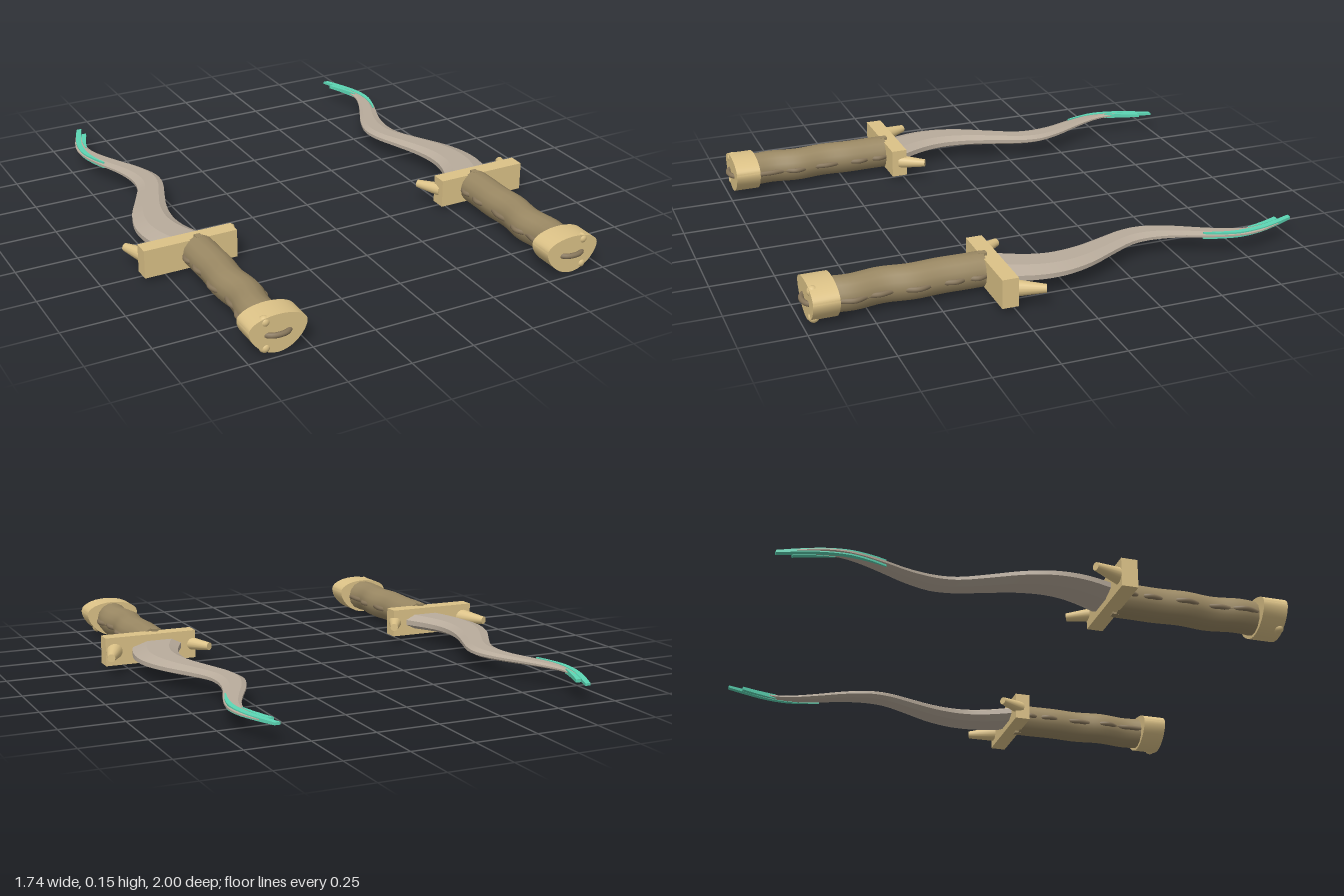
import * as THREE from 'three';
import { toCreasedNormals } from 'three/addons/utils/BufferGeometryUtils.js';

const MID_Y = 0.077; // height of the blade plane
const AXIS_X = 0.62; // centre line of a dagger
const V = (x, y, z) => new THREE.Vector3(x, y, z);

// Closed skin over rings of [x, y, z], each counterclockwise from +z, running towards -z
function loft(rings, crease = 0.5) {
  const n = rings[0].length, index = [];
  const last = (rings.length - 1) * n;
  for (let i = 0; i < rings.length - 1; i++) {
    for (let j = 0; j < n; j++) {
      const a = i * n + j, b = i * n + (j + 1) % n;
      index.push(a, a + n, b, b, a + n, b + n);
    }
  }
  for (let j = 1; j < n - 1; j++) {
    index.push(0, j, j + 1, last, last + j + 1, last + j);
  }
  const geo = new THREE.BufferGeometry();
  geo.setAttribute('position', new THREE.Float32BufferAttribute(rings.flat(2), 3));
  geo.setIndex(index);
  return toCreasedNormals(geo, crease);
}

// Half thickness of the blade, thinning towards the tip
const bladeHalf = (z) => THREE.MathUtils.mapLinear(z, 0.26, -1, 0.031, 0.003);

// Blade: smooth left and right edges, bevelled around a flat top and bottom
function bladeGeometry() {
  const edges = [ // left x, right x, z
    [0.515, 0.725, 0.26], [0.565, 0.757, 0.16], [0.592, 0.768, 0.08], [0.598, 0.762, 0],
    [0.582, 0.73, -0.1], [0.545, 0.672, -0.21], [0.508, 0.62, -0.32], [0.503, 0.612, -0.4],
    [0.535, 0.63, -0.5], [0.592, 0.672, -0.61], [0.635, 0.7, -0.7], [0.656, 0.709, -0.77],
    [0.655, 0.702, -0.83], [0.645, 0.686, -0.88], [0.64, 0.666, -0.93],
  ];
  const curve = new THREE.CatmullRomCurve3(edges.map((e) => V(...e)));
  const rings = curve.getPoints(42).map(({ x: l, y: r, z }) => {
    const h = bladeHalf(z), e = h * 0.35, p = l + (r - l) * 0.2, q = l + (r - l) * 0.7;
    return [[l, -e], [p, -h], [q, -h], [r, -e], [r, e], [q, h], [p, h], [l, e]]
      .map(([x, y]) => [x, MID_Y + y, z]);
  });
  return loft(rings, 0.3);
}

// Flat ribbon along points of [x, half width, z], just proud of the blade
function ribbonGeometry(points) {
  const curve = new THREE.CatmullRomCurve3(points.map((p) => V(...p)));
  return loft(curve.getPoints(18).map(({ x, y: w, z }) => {
    const h = bladeHalf(z) + 0.002;
    return [[-w, -h], [w, -h], [w, h], [-w, h]].map(([dx, dy]) => [x + dx, MID_Y + dy, z]);
  }));
}

// Sideways sway of the grip
const sway = (z) => 0.008 * Math.cos((z - 0.81) * Math.PI / 0.125) * THREE.MathUtils.smoothstep(z, 0.3, 0.75);

function gripGeometry() {
  const rings = [];
  for (let i = 0; i <= 28; i++) {
    const z = 0.89 - i * 0.59 / 28, ring = [];
    for (let j = 0; j < 14; j++) {
      const a = j / 14 * Math.PI * 2;
      ring.push([AXIS_X + sway(z) + 0.069 * Math.cos(a), 0.078 + 0.068 * Math.sin(a), z]);
    }
    rings.push(ring);
  }
  return loft(rings, 0.6);
}

// Cord: weaves in and out of both grip sides and loops through the pommel
function cordGeometry() {
  const weave = [ // offset from the axis, z
    [0.07, 0.34], [0.055, 0.38], [0.07, 0.425], [0.052, 0.495], [0.07, 0.57],
    [0.054, 0.645], [0.07, 0.71], [0.058, 0.755], [0.07, 0.81], [0.058, 0.88],
  ].map(([x, z]) => [x, z, sway(z)]);
  const loop = [[0.054, 0.95, 0], [0.035, 0.977, 0]];
  const half = [[0.055, 0.3, 0], ...weave, ...loop];
  const path = [
    ...half.map(([x, z, s]) => V(AXIS_X + s + x, MID_Y, z)),
    V(AXIS_X, MID_Y, 0.986),
    ...half.reverse().map(([x, z, s]) => V(AXIS_X + s - x, MID_Y, z)),
  ];
  return new THREE.TubeGeometry(new THREE.CatmullRomCurve3(path), 160, 0.0105, 10);
}

// Pommel: shield-like outline, broad above and narrowing below
function pommelGeometry() {
  const s = new THREE.Shape();
  s.moveTo(0, 0);
  s.bezierCurveTo(0.06, 0, 0.113, 0.06, 0.113, 0.1);
  s.bezierCurveTo(0.113, 0.13, 0.06, 0.15, 0, 0.15);
  s.bezierCurveTo(-0.06, 0.15, -0.113, 0.13, -0.113, 0.1);
  s.bezierCurveTo(-0.113, 0.06, -0.06, 0, 0, 0);
  const geo = new THREE.ExtrudeGeometry(s, { depth: 0.1, bevelEnabled: false, curveSegments: 10 });
  return toCreasedNormals(geo.translate(AXIS_X, 0, 0.872), 0.6);
}

// Tapered spike between two points
function spikeGeometry(from, to, r0, r1) {
  const dir = to.clone().sub(from), mid = from.clone().add(to).multiplyScalar(0.5);
  const geo = new THREE.CylinderGeometry(r1, r0, dir.length(), 16);
  geo.applyQuaternion(new THREE.Quaternion().setFromUnitVectors(V(0, 1, 0), dir.normalize()));
  return geo.translate(mid.x, mid.y, mid.z);
}

export function createModel() {
  const material = (name, color) => {
    const m = new THREE.MeshStandardMaterial({ color });
    m.name = name;
    return m;
  };
  const gold = material('gold', 0xdcc287);
  const steel = material('blade grey', 0xb9ac9c);
  const leather = material('grip brown', 0x9a8863);
  const cord = material('cord brown', 0x86755a);
  const teal = material('teal', 0x5cd6b4);

  const parts = [
    ['blade', bladeGeometry(), steel],
    ['tipInlay', ribbonGeometry([[0.658, 0.003, -0.6], [0.678, 0.006, -0.66], [0.692, 0.01, -0.74],
      [0.684, 0.011, -0.83], [0.656, 0.012, -0.92], [0.625, 0.011, -1]]), teal],
    ['innerTipInlay', ribbonGeometry([[0.668, 0.003, -0.79], [0.657, 0.007, -0.84],
      [0.643, 0.01, -0.89], [0.624, 0.011, -0.94]]), teal],
    ['guard', new THREE.BoxGeometry(0.382, 0.115, 0.064).translate(0.653, 0.077, 0.275), gold],
    ['outerSpike', spikeGeometry(V(0.799, MID_Y, 0.27), V(0.854, MID_Y, 0.138), 0.036, 0.016), gold],
    ['innerSpike', spikeGeometry(V(0.482, MID_Y, 0.268), V(0.427, MID_Y, 0.172), 0.028, 0.016), gold],
    ['grip', gripGeometry(), leather],
    ['gripTab', new THREE.BoxGeometry(0.026, 0.134, 0.03).translate(AXIS_X, 0.078, 0.3), leather],
    ['cord', cordGeometry(), cord],
    ['pommel', pommelGeometry(), gold],
  ];
  for (const y of [0.128, 0.025]) {
    parts.push(['pommelStud', new THREE.SphereGeometry(0.021, 16, 12).translate(0.668, y, 0.957), gold]);
  }

  // Two mirrored daggers
  const model = new THREE.Group();
  model.name = 'daggerPair';
  for (const side of [1, -1]) {
    const dagger = new THREE.Group();
    dagger.name = side > 0 ? 'leftDagger' : 'rightDagger';
    dagger.scale.x = side;
    for (const [name, geo, mat] of parts) {
      const mesh = new THREE.Mesh(geo, mat);
      mesh.name = name;
      dagger.add(mesh);
    }
    model.add(dagger);
  }
  return model;
}
